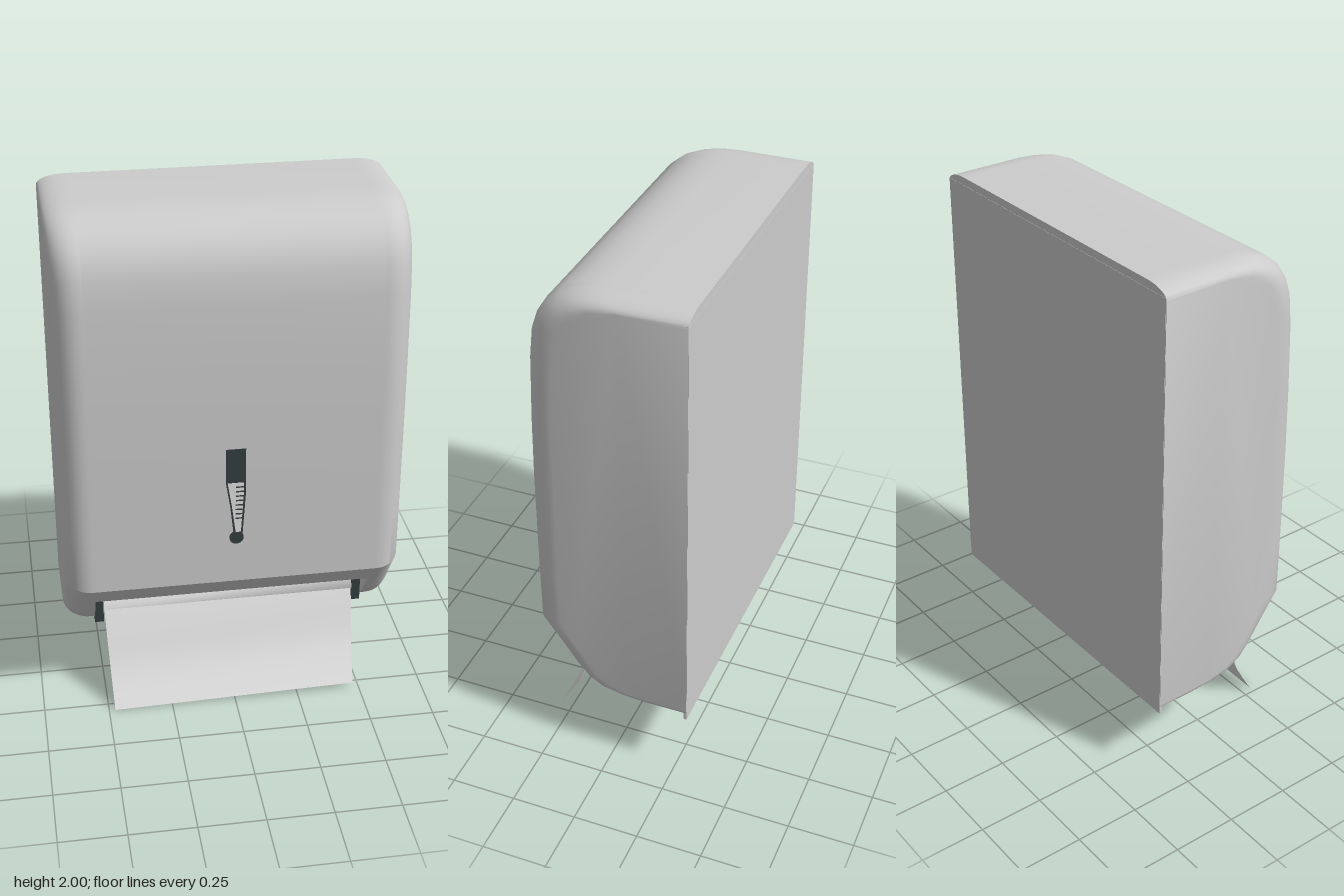
import * as THREE from 'three';
import { toCreasedNormals } from 'three/addons/utils/BufferGeometryUtils.js';

const BACK = -0.305;
// Side profile as [z, y], from the back top edge over the front to the bottom
const cover = [[BACK, 2], [0, 2], [0.06, 1.996], [0.12, 1.985], [0.18, 1.96], [0.23, 1.92],
  [0.262, 1.87], [0.282, 1.81], [0.294, 1.7], [0.303, 1.45], [0.307, 1.2], [0.307, 0.8], [0.305, 0.57], [0.235, 0.48]];
const chin = [[0.17, 0.39], [0.125, 0.34], [0.07, 0.308], [-0.02, 0.291], [-0.12, 0.285], [BACK, 0.285]];
const recess = [[0.02, 0.48], [0.05, 0.38], [0.07, 0.308], [-0.02, 0.291], [-0.12, 0.285], [BACK, 0.285]];

// Skins a profile across x; each station is {x, k}, k being how far the edge has rounded in
function loft(profile, stations) {
  const pos = [];
  const rings = stations.map(({ x, k }) => profile.map(([z, y]) => [
    x,
    1.142 + (y - 1.142) * (1 - 0.045 * k),
    BACK + (z - BACK) * (1 - 0.18 * k)]));
  const n = profile.length;
  for (let i = 0; i < rings.length - 1; i++) {
    for (let j = 0; j < n; j++) {
      const a = rings[i][j], b = rings[i][(j + 1) % n];
      const c = rings[i + 1][(j + 1) % n], d = rings[i + 1][j];
      pos.push(...a, ...b, ...c, ...a, ...c, ...d);
    }
  }
  for (const [ring, side] of [[rings[0], -1], [rings[rings.length - 1], 1]]) {
    const flat = ring.map((p) => new THREE.Vector2(p[2], p[1]));
    for (const f of THREE.ShapeUtils.triangulateShape(flat, [])) {
      const area = THREE.ShapeUtils.area(f.map((i) => flat[i]));
      const tri = area * side < 0 ? f : [f[0], f[2], f[1]];
      tri.forEach((i) => pos.push(...ring[i]));
    }
  }
  const g = new THREE.BufferGeometry();
  g.setAttribute('position', new THREE.Float32BufferAttribute(pos, 3));
  return toCreasedNormals(g, 0.5);
}

// Thin sheet following a [z, y] path, with its own half width and tilt
function sheet(path, halfTop, halfBottom, tilt) {
  const g = new THREE.PlaneGeometry(1, 1, 1, path.length - 1);
  const p = g.attributes.position;
  path.forEach(([z, y], i) => {
    const t = i / (path.length - 1);
    const h = THREE.MathUtils.lerp(halfTop, halfBottom, t);
    p.setXYZ(i * 2, -h, y - tilt * t, z);
    p.setXYZ(i * 2 + 1, h, y + tilt * t, z);
  });
  g.computeVertexNormals();
  return g;
}

export function createModel() {
  const group = new THREE.Group();
  const material = (name, color, side = THREE.FrontSide) => {
    const m = new THREE.MeshStandardMaterial({ color, side });
    m.name = name;
    return m;
  };
  const shell = material('shell grey', 0xcccccc);
  const paper = material('paper white', 0xe0e0e0, THREE.DoubleSide);
  const dark = material('dark slate', 0x353d40);
  const add = (name, geometry, mat, x = 0, y = 0, z = 0) => {
    const mesh = new THREE.Mesh(geometry, mat);
    mesh.name = name;
    mesh.position.set(x, y, z);
    group.add(mesh);
    return mesh;
  };
  const box = (name, w, h, d, mat, x, y, z) => add(name, new THREE.BoxGeometry(w, h, d), mat, x, y, z);

  // Housing: middle with the outlet recess, and two rounded ends
  add('housingMiddle', loft([...cover, ...recess], [{ x: -0.53, k: 0 }, { x: 0.53, k: 0 }]), shell);
  const end = [{ x: 0.53, k: 0 }];
  for (let i = 0; i <= 8; i++) {
    const a = (i / 8) * Math.PI / 2;
    end.push({ x: 0.545 + 0.1 * Math.sin(a), k: 1 - Math.cos(a) });
  }
  const mirrored = end.map(({ x, k }) => ({ x: -x, k })).reverse();
  add('housingLeftEnd', loft([...cover, ...chin], end), shell);
  add('housingRightEnd', loft([...cover, ...chin], mirrored), shell);
  box('backPlate', 1.286, 1.685, 0.012, shell, 0, 1.1275, -0.3);

  // Outlet: dark cheeks and lip, pale tray, hanging towel
  for (const s of [-1, 1]) {
    box('outletCheek', 0.035, 0.17, 0.09, dark, s * 0.512, 0.395, 0.08);
  }
  box('outletLip', 1.06, 0.008, 0.2, dark, 0, 0.477, 0.125);
  add('outletTray', sheet([[0.06, 0.475], [0.1, 0.43], [0.135, 0.375], [0.1, 0.33]], 0.494, 0.494, 0), paper);
  add('paperTowel', sheet([[0.125, 0.38], [0.16, 0.29], [0.182, 0.22], [0.21, 0.15], [0.25, 0.08], [0.292, 0.012]],
    0.492, 0.476, 0.011), paper);

  // Lock window: dark slot, tapered pale insert, level ticks, keyhole
  const plate = (points) => new THREE.ExtrudeGeometry(
    new THREE.Shape(points.map(([x, y]) => new THREE.Vector2(x, y))), { depth: 0.004, bevelEnabled: false });
  add('lockSlot', plate([[-0.04, 1.14], [-0.04, 1.0], [-0.024, 0.9], [-0.01, 0.77], [0.022, 0.77],
    [0.034, 0.95], [0.034, 1.14]]), dark, 0, 0, 0.305);
  add('lockInsert', plate([[-0.034, 1.0], [-0.018, 0.9], [-0.004, 0.79], [0.016, 0.79], [0.026, 0.95], [0.026, 1.0]]),
    paper, 0, 0, 0.307);
  for (let i = 0; i < 8; i++) {
    box('levelTick', 0.03, 0.005, 0.002, dark, 0.011, 0.85 + i * 0.019, 0.3115);
  }
  const key = add('keyhole', new THREE.CylinderGeometry(0.027, 0.027, 0.006, 20), dark, 0, 0.765, 0.307);
  key.rotation.x = Math.PI / 2;

  return group;
}
